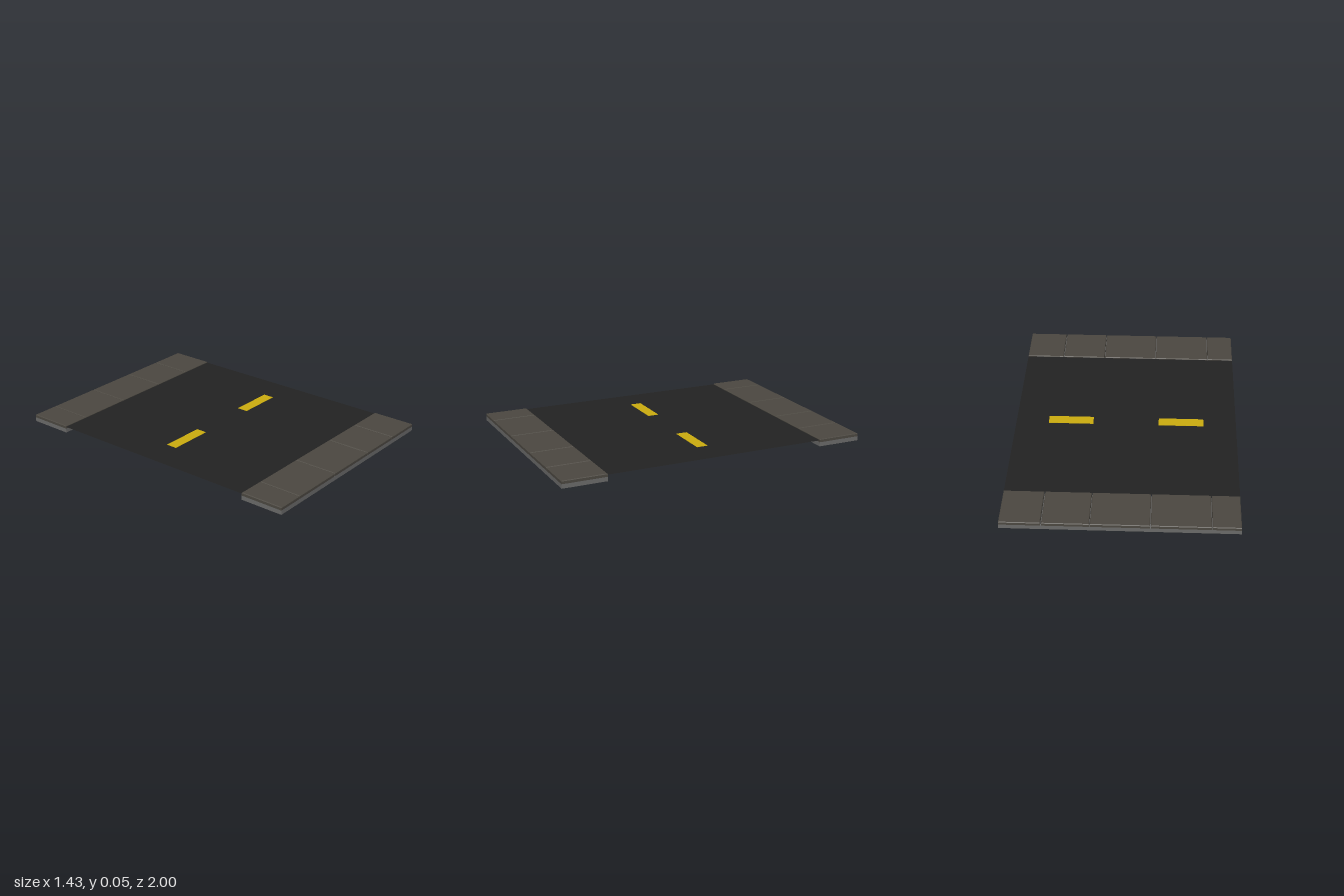
import * as THREE from 'three';

const mat = (name, color, extra = {}) => {
  const m = new THREE.MeshStandardMaterial({ color, ...extra });
  m.name = name;
  return m;
};

// Box spanning the given ranges, with its top edges chamfered by c
function slabGeometry(x0, x1, y0, y1, z0, z1, c) {
  const w = x1 - x0, h = y1 - y0, d = z1 - z0;
  const box = new THREE.BoxGeometry(w, h, d, 1, 2, 1);
  const p = box.attributes.position;
  for (let i = 0; i < p.count; i++) {
    const y = p.getY(i);
    if (y > h / 4) {
      p.setX(i, Math.sign(p.getX(i)) * (w / 2 - c));
      p.setZ(i, Math.sign(p.getZ(i)) * (d / 2 - c));
    } else if (y > -h / 4) {
      p.setY(i, h / 2 - c);
    }
  }
  const g = box.toNonIndexed();
  g.computeVertexNormals();
  g.translate((x0 + x1) / 2, (y0 + y1) / 2, (z0 + z1) / 2);
  return g;
}

export function createModel() {
  const model = new THREE.Group();
  model.name = 'roadSection';

  const asphalt = mat('asphalt', 0x232323, { side: THREE.DoubleSide });
  const paint = mat('yellowPaint', 0xcdae0f);
  const stone = mat('pavingStone', 0x4c4841);
  const concrete = mat('concrete', 0x6a6a69);

  const add = (parent, name, geometry, material) => {
    const mesh = new THREE.Mesh(geometry, material);
    mesh.name = name;
    parent.add(mesh);
    return mesh;
  };

  const halfWidth = 0.713, inner = 0.717, outer = 1;
  const baseTop = 0.027, top = 0.047, roadY = 0.04;

  // Road surface, a single sheet between the pavements
  const road = add(model, 'roadSurface', new THREE.PlaneGeometry(halfWidth * 2, inner * 2), asphalt);
  road.rotation.x = -Math.PI / 2;
  road.position.y = roadY;

  // Centre line dashes, showing on both faces of the sheet
  for (const side of [-1, 1]) {
    const dash = add(model, side > 0 ? 'leftDash' : 'rightDash',
      new THREE.BoxGeometry(0.29, 0.004, 0.072), paint);
    dash.position.set(side * 0.357, roadY, 0);
  }

  // Pavements: concrete base topped by five slabs with narrow joints
  const joints = [
    { x: -0.54, gap: 0.004 }, { x: -0.18, gap: 0.004 },
    { x: 0.177, gap: 0.004 }, { x: 0.463, gap: 0.006 },
  ];
  for (const side of [-1, 1]) {
    const pavement = new THREE.Group();
    pavement.name = side > 0 ? 'frontPavement' : 'backPavement';
    model.add(pavement);
    const z0 = side > 0 ? inner : -outer;
    const z1 = side > 0 ? outer : -inner;

    const base = add(pavement, 'pavementBase',
      new THREE.BoxGeometry(halfWidth * 2, baseTop, z1 - z0), concrete);
    base.position.set(0, baseTop / 2, (z0 + z1) / 2);

    for (let i = 0; i <= joints.length; i++) {
      const x0 = i ? joints[i - 1].x + joints[i - 1].gap / 2 : -halfWidth;
      const x1 = i < joints.length ? joints[i].x - joints[i].gap / 2 : halfWidth;
      add(pavement, 'pavingSlab' + (i + 1), slabGeometry(x0, x1, baseTop, top, z0, z1, 0.004), stone);
    }
  }
  return model;
}
